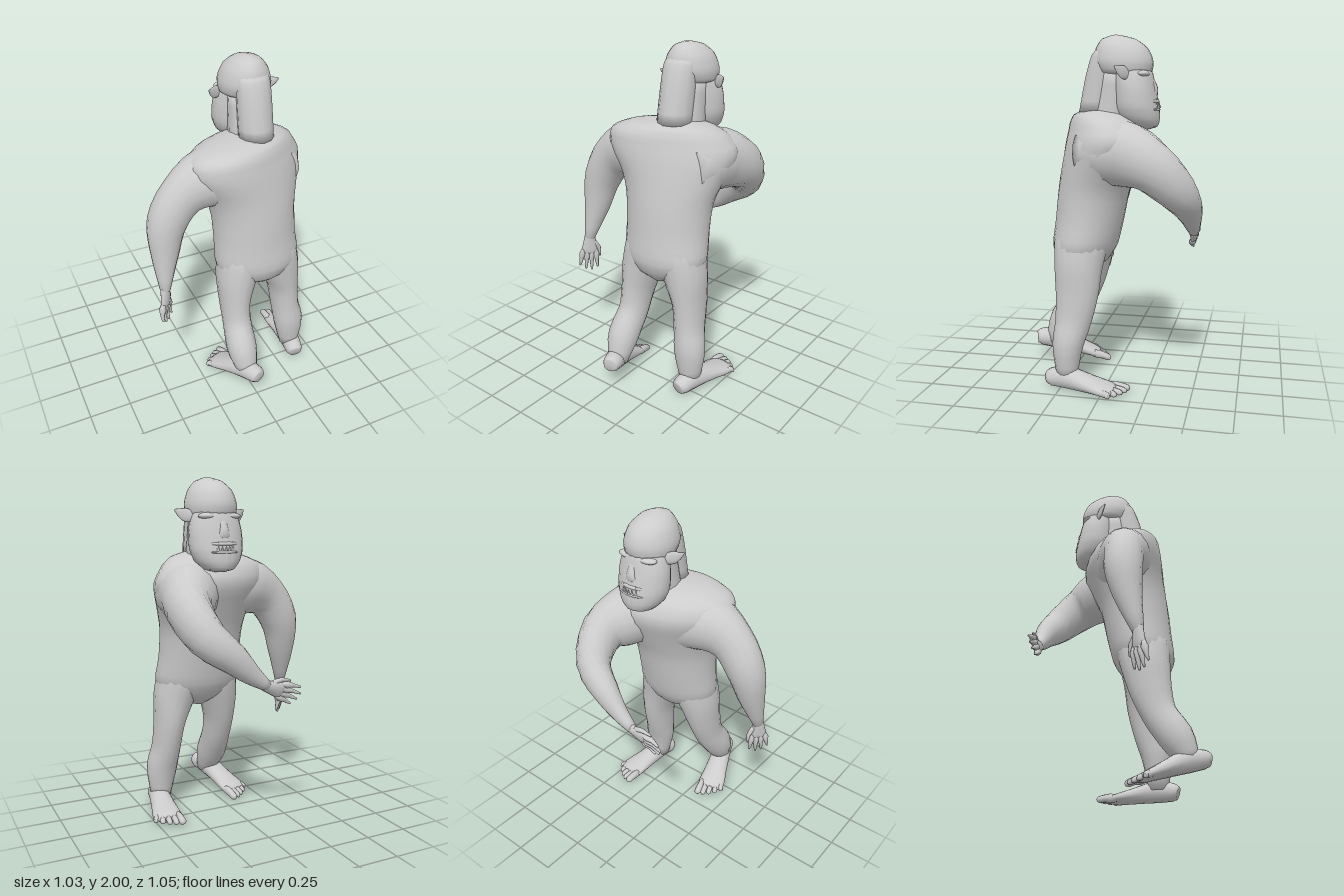
import * as THREE from 'three';

const material = new THREE.MeshStandardMaterial({ color: 0xcccccc });
const V = (x, y, z) => new THREE.Vector3(x, y, z);
const X = V(1, 0, 0), Y = V(0, 1, 0), Z = V(0, 0, 1), DOWN = V(0, -1, 0);

// Lofts elliptical rings along a path. Each section: [x, y, z, radiusU, radiusV, twist].
// "across" is the direction of radiusU; "axis" (the way the path runs) keeps all rings parallel.
function loft(name, sections, across, sides = 14, steps = 3, axis = null) {
  const path = new THREE.CatmullRomCurve3(sections.map((s) => V(s[0], s[1], s[2])));
  const size = new THREE.CatmullRomCurve3(sections.map((s) => V(s[3], s[4], s[5] || 0)));
  const n = (sections.length - 1) * steps;
  const pos = [], index = [];
  for (let i = 0; i <= n; i++) {
    const c = path.getPoint(i / n), r = size.getPoint(i / n);
    const t = axis || path.getTangent(i / n);
    const u = across.clone().addScaledVector(t, -across.dot(t)).normalize().applyAxisAngle(t, r.z);
    const v = t.clone().cross(u);
    for (let j = 0; j < sides; j++) {
      const a = (j / sides) * Math.PI * 2;
      const p = c.clone().addScaledVector(u, r.x * Math.cos(a)).addScaledVector(v, r.y * Math.sin(a));
      pos.push(p.x, p.y, p.z);
      if (i === n) continue;
      const k = (j + 1) % sides, q = i * sides;
      index.push(q + j, q + k, q + sides + j, q + k, q + sides + k, q + sides + j);
    }
  }
  // end caps
  const first = pos.length / 3, last = n * sides;
  pos.push(...path.getPoint(0).toArray(), ...path.getPoint(1).toArray());
  for (let j = 0; j < sides; j++) {
    const k = (j + 1) % sides;
    index.push(first, k, j, first + 1, last + j, last + k);
  }
  const g = new THREE.BufferGeometry();
  g.setAttribute('position', new THREE.Float32BufferAttribute(pos, 3));
  g.setIndex(index);
  g.computeVertexNormals();
  return named(name, g);
}

function named(name, geometry) {
  const m = new THREE.Mesh(geometry, material);
  m.name = name;
  return m;
}

function ball(name, x, y, z, rx, ry, rz) {
  const m = named(name, new THREE.SphereGeometry(1, 20, 14));
  m.position.set(x, y, z);
  m.scale.set(rx, ry, rz);
  return m;
}

// Foot with heel at the origin, pointing to -z; inner = sign of x on the big toe's side
function makeFoot(name, inner) {
  const foot = new THREE.Group();
  foot.name = name;
  foot.add(loft('footBody', [
    [0, 0.048, 0.01, 0.04, 0.038], [0, 0.056, -0.015, 0.054, 0.052], [0, 0.066, -0.11, 0.062, 0.064],
    [0, 0.048, -0.25, 0.075, 0.046], [0, 0.032, -0.36, 0.088, 0.03], [0, 0.028, -0.4, 0.07, 0.02],
  ], X, 14));
  for (let i = 0; i < 5; i++) {
    const x = inner * (0.066 - i * 0.034), r = i ? 0.017 : 0.022;
    const tip = -0.465 + i * i * 0.004;
    foot.add(loft('toe', [
      [x * 0.9, 0.03, -0.35, r, r], [x * 1.03, 0.031, (tip - 0.37) / 2, r, r],
      [x * 1.08, 0.024, tip + 0.012, r, r * 0.9], [x * 1.08, 0.02, tip, r * 0.4, r * 0.4],
    ], X, 8, 2));
  }
  return foot;
}

// Hand with wrist at the origin; local +y runs to the fingertips, +x is the thumb side
function makeHand(name, wrist, direction, thumbSide) {
  const hand = new THREE.Group();
  hand.name = name;
  hand.add(loft('palm', [
    [0, -0.03, 0, 0.03, 0.028], [0, 0.03, 0, 0.04, 0.025], [0, 0.09, 0, 0.05, 0.02], [0, 0.11, 0, 0.044, 0.012],
  ], X, 12));
  [0.1, 0.12, 0.115, 0.09].forEach((len, i) => {
    const x = 0.037 - i * 0.025, fan = (1.5 - i) * 0.012;
    hand.add(loft('finger', [
      [x, 0.08, 0, 0.013, 0.014], [x + fan * 0.6, 0.1 + len * 0.5, 0.004, 0.013, 0.014],
      [x + fan, 0.1 + len, -0.004, 0.006, 0.006],
    ], X, 8, 2));
  });
  hand.add(loft('thumb', [
    [0.02, 0.02, 0, 0.016, 0.016], [0.058, 0.07, 0.008, 0.014, 0.014], [0.068, 0.13, 0.012, 0.005, 0.005],
  ], X, 8, 2));
  const y = direction.clone().normalize();
  const x = thumbSide.clone().addScaledVector(y, -thumbSide.dot(y)).normalize();
  hand.quaternion.setFromRotationMatrix(new THREE.Matrix4().makeBasis(x, y, x.clone().cross(y)));
  hand.position.copy(wrist);
  return hand;
}

// Head, centred on x = 0 and looking to -z
function makeHead() {
  const head = new THREE.Group();
  head.name = 'head';
  head.add(loft('skull', [
    [0, 1.775, -0.085, 0.1, 0.11], [0, 1.795, -0.08, 0.138, 0.15], [0, 1.85, -0.07, 0.145, 0.168],
    [0, 1.925, -0.06, 0.122, 0.148], [0, 1.978, -0.04, 0.075, 0.095], [0, 2, -0.025, 0.015, 0.02],
  ], X, 22, 3, Y));
  head.add(loft('face', [
    [0, 1.86, -0.1, 0.1, 0.1], [0, 1.79, -0.12, 0.135, 0.115], [0, 1.7, -0.135, 0.155, 0.12],
    [0, 1.61, -0.145, 0.155, 0.127], [0, 1.54, -0.16, 0.13, 0.118], [0, 1.495, -0.18, 0.085, 0.085],
    [0, 1.48, -0.19, 0.03, 0.03],
  ], X, 20, 3, DOWN));
  head.add(loft('neck', [[0, 1.38, 0.03, 0.13, 0.13], [0, 1.58, -0.01, 0.115, 0.12], [0, 1.8, -0.04, 0.11, 0.11]], X));
  // hair falling down the back
  head.add(loft('hair', [
    [0, 1.925, 0.02, 0.075, 0.06], [0, 1.89, 0.035, 0.097, 0.077], [0, 1.75, 0.06, 0.1, 0.095], [0, 1.575, 0.088, 0.1, 0.102],
  ], X, 12, 3, DOWN));
  head.add(loft('nose', [
    [0, 1.77, -0.22, 0.02, 0.015], [0, 1.71, -0.242, 0.028, 0.022], [0, 1.675, -0.242, 0.04, 0.022], [0, 1.66, -0.235, 0.02, 0.015],
  ], X, 10));
  head.add(ball('upperLip', 0, 1.635, -0.235, 0.085, 0.018, 0.038));
  head.add(ball('lowerLip', 0, 1.59, -0.24, 0.09, 0.014, 0.038));
  for (const s of [-1, 1]) {
    head.add(ball('brow', s * 0.06, 1.785, -0.19, 0.068, 0.02, 0.038));
    head.add(ball('eye', s * 0.058, 1.752, -0.208, 0.026, 0.018, 0.022));
    head.add(loft('ear', [
      [s * 0.12, 1.775, -0.12, 0.025, 0.012], [s * 0.16, 1.79, -0.1, 0.036, 0.01],
      [s * 0.19, 1.805, -0.08, 0.024, 0.007], [s * 0.213, 1.82, -0.062, 0.004, 0.003],
    ], Y, 10));
  }
  // teeth, larger towards the corners
  for (let i = -3; i <= 3; i++) {
    const x = i * 0.022, h = Math.abs(i) === 2 ? 0.055 : 0.03;
    const tooth = named('tooth', new THREE.ConeGeometry(0.009, h, 6));
    tooth.position.set(x, 1.597 + h / 2, -0.275 + x * x * 6);
    head.add(tooth);
  }
  head.position.x = 0.155;
  return head;
}

export function createModel() {
  const model = new THREE.Group();
  model.name = 'standingBrute';

  // torso, its shoulders turned against the hips
  model.add(loft('torso', [
    [0.15, 0.655, 0.17, 0.04, 0.07, 0], [0.148, 0.72, 0.165, 0.19, 0.145, 0], [0.148, 0.81, 0.155, 0.262, 0.187, 0],
    [0.142, 0.96, 0.13, 0.256, 0.198, 0.05], [0.138, 1.13, 0.105, 0.262, 0.208, 0.12], [0.135, 1.28, 0.065, 0.31, 0.225, 0.25],
    [0.11, 1.42, 0.035, 0.375, 0.235, 0.31], [0.09, 1.51, 0.05, 0.34, 0.207, 0.31],
    [0.11, 1.56, 0.07, 0.245, 0.158, 0.31], [0.14, 1.585, 0.07, 0.12, 0.09, 0.31],
  ], X, 26, 3, Y));
  model.add(makeHead());

  // right arm, hanging
  model.add(loft('rightArm', [
    [0.04, 1.35, 0.06, 0.2, 0.17], [-0.14, 1.37, 0.072, 0.165, 0.175], [-0.29, 1.3, 0.08, 0.118, 0.135],
    [-0.388, 1.15, 0.085, 0.11, 0.117], [-0.42, 0.97, 0.11, 0.082, 0.085], [-0.45, 0.74, 0.165, 0.034, 0.03],
  ], Z, 16));
  model.add(makeHand('rightHand', V(-0.45, 0.74, 0.165), V(-0.02, -1, 0.07), V(1, 0, -1)));

  // left arm, reaching across the front
  model.add(loft('leftArm', [
    [0.24, 1.345, 0.12, 0.15, 0.17], [0.275, 1.355, -0.01, 0.185, 0.19], [0.32, 1.34, -0.14, 0.178, 0.165],
    [0.375, 1.28, -0.275, 0.14, 0.125], [0.33, 1.145, -0.41, 0.11, 0.1], [0.2, 1.035, -0.455, 0.085, 0.075],
    [0.1, 0.945, -0.465, 0.058, 0.05], [0, 0.87, -0.465, 0.03, 0.03],
  ], Y, 16));
  model.add(makeHand('leftHand', V(0, 0.87, -0.465), V(-1, -0.38, 0.03), V(-0.2, 1, -0.3)));

  // legs, rooted inside the torso
  model.add(loft('leftLeg', [
    [0.24, 1.0, 0.14, 0.09, 0.12], [0.265, 0.83, 0.155, 0.135, 0.155], [0.3, 0.7, 0.162, 0.122, 0.14],
    [0.33, 0.55, 0.165, 0.092, 0.125], [0.345, 0.39, 0.185, 0.086, 0.105], [0.365, 0.26, 0.21, 0.095, 0.09],
    [0.375, 0.07, 0.215, 0.062, 0.06],
  ], X, 16));
  model.add(loft('rightLeg', [
    [0.05, 1.0, 0.14, 0.09, 0.12], [0.03, 0.83, 0.16, 0.135, 0.155], [0, 0.7, 0.178, 0.12, 0.142],
    [-0.02, 0.55, 0.205, 0.093, 0.12], [-0.025, 0.41, 0.25, 0.086, 0.1], [-0.033, 0.28, 0.335, 0.092, 0.1],
    [-0.025, 0.13, 0.41, 0.06, 0.058],
  ], X, 16));

  // left foot flat, right foot with the heel lifted
  const leftFoot = makeFoot('leftFoot', -1);
  leftFoot.position.set(0.37, 0, 0.32);
  leftFoot.rotation.y = -0.16;
  const rightFoot = makeFoot('rightFoot', 1);
  rightFoot.position.set(0.005, 0.105, 0.515);
  rightFoot.rotation.set(-0.24, 0.33, 0, 'YXZ');
  model.add(leftFoot, rightFoot);
  return model;
}
